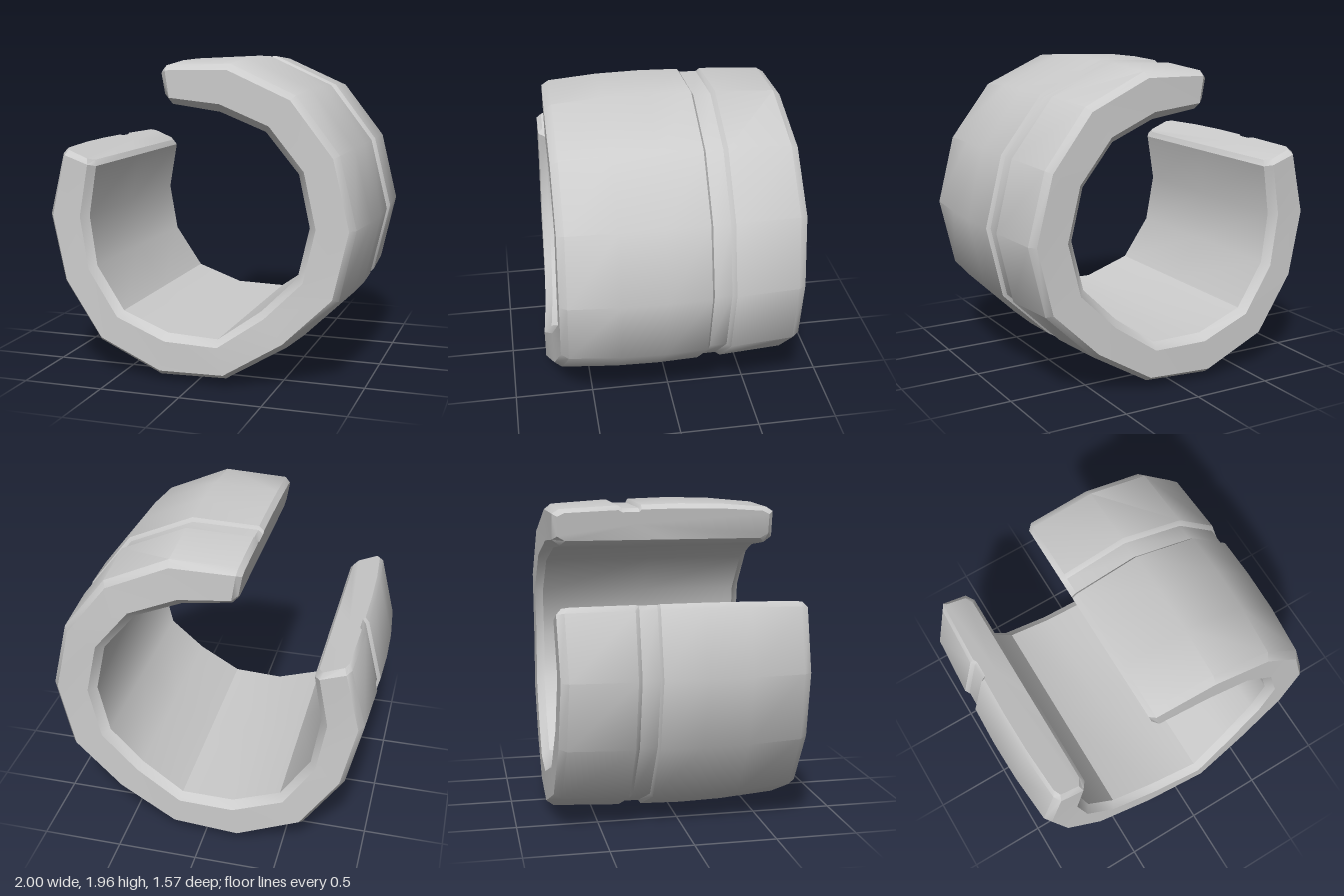
import * as THREE from 'three';
import { toCreasedNormals } from 'three/addons/utils/BufferGeometryUtils.js';

// Stations around the open ring, clockwise from the upper end:
// outer x, outer y, inner x, inner y, front z, back z
const stations = [
  [-0.23, 1.915, -0.195, 1.72, 0.66, -0.69],
  [-0.20, 1.945, -0.16, 1.69, 0.69, -0.72],
  [0.21, 1.965, 0.14, 1.65, 0.70, -0.73],
  [0.62, 1.78, 0.42, 1.54, 0.70, -0.75],
  [0.89, 1.43, 0.62, 1.30, 0.70, -0.76],
  [1.00, 0.99, 0.69, 0.99, 0.71, -0.75],
  [0.90, 0.55, 0.62, 0.69, 0.71, -0.76],
  [0.59, 0.25, 0.41, 0.48, 0.74, -0.77],
  [0.21, 0.03, 0.15, 0.295, 0.78, -0.78],
  [-0.23, 0.005, -0.18, 0.30, 0.75, -0.79],
  [-0.65, 0.19, -0.48, 0.41, 0.73, -0.78],
  [-0.90, 0.56, -0.66, 0.68, 0.72, -0.77],
  [-1.00, 0.99, -0.71, 0.99, 0.71, -0.76],
  [-0.90, 1.385, -0.66, 1.30, 0.71, -0.77],
  [-0.875, 1.415, -0.68, 1.335, 0.68, -0.74],
];

// Bevelled, slightly barrelled section with a groove: [0 inner .. 1 outer, z]
function section(front, back, g) {
  return [
    [0, 0], [0, front - 0.05], [0.15, front], [0.78, front], [0.89, front - 0.045],
    [0.98, 0.35], [1, 0.08], [0.975, g + 0.015], [0.9, g], [0.895, g - 0.105],
    [0.965, g - 0.13], [0.89, back + 0.045], [0.78, back], [0.15, back], [0, back + 0.05],
  ];
}

function bandGeometry() {
  const positions = [], index = [];
  const n = 15;
  const put = (s, t, z) => positions.push(s[2] + (s[0] - s[2]) * t, s[3] + (s[1] - s[3]) * t, z);

  stations.forEach((s, i) => {
    const groove = i < 2 ? -0.18 : -0.195;
    for (const [t, z] of section(s[4], s[5], groove)) put(s, t, z);
  });

  // Skin between neighbouring sections
  for (let i = 0; i < stations.length - 1; i++) {
    for (let j = 0; j < n; j++) {
      const a = i * n + j, b = i * n + (j + 1) % n;
      index.push(a, a + n, b, b, a + n, b + n);
    }
  }

  // Flat caps on both ends of the opening
  const last = stations.length - 1, hub = stations.length * n;
  put(stations[0], 0.5, -0.2);
  put(stations[last], 0.5, -0.2);
  for (let j = 0; j < n; j++) {
    const k = (j + 1) % n;
    index.push(hub, j, k, hub + 1, last * n + k, last * n + j);
  }

  const geometry = new THREE.BufferGeometry();
  geometry.setAttribute('position', new THREE.Float32BufferAttribute(positions, 3));
  geometry.setIndex(index);
  return toCreasedNormals(geometry, 0.6);
}

export function createModel() {
  const model = new THREE.Group();
  model.name = 'openCuff';
  const grey = new THREE.MeshStandardMaterial({ color: 0xcccccc });
  grey.name = 'plain grey';
  const band = new THREE.Mesh(bandGeometry(), grey);
  band.name = 'groovedBand';
  model.add(band);
  return model;
}
